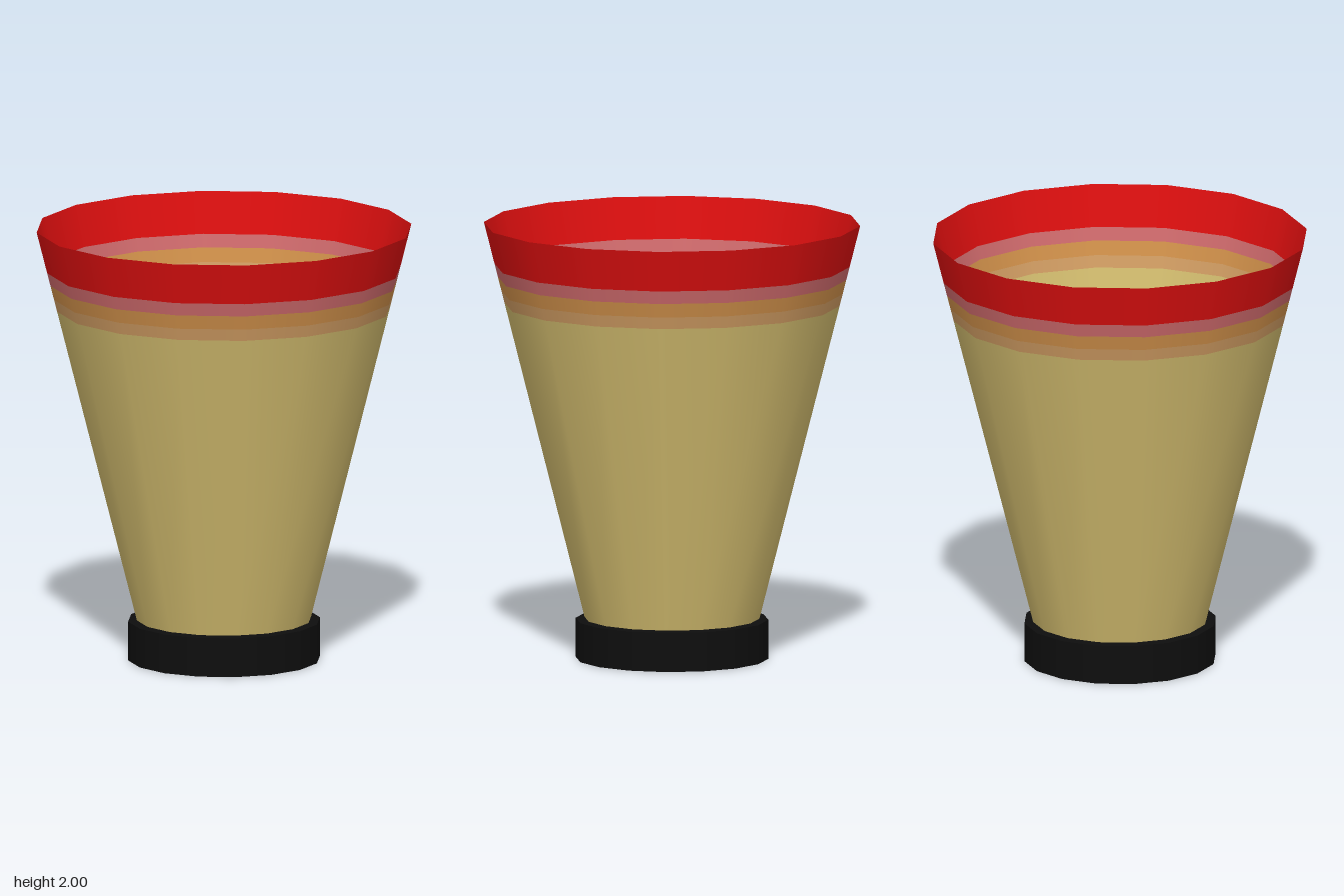
import * as THREE from 'three';

const SIDES = 16;
const FLOOR = 0.185;
const TOP = 2;

function makeMaterial(name, color, side = THREE.DoubleSide) {
  const m = new THREE.MeshStandardMaterial({ color, side });
  m.name = name;
  return m;
}

// radius of the flared wall at a given height
const radiusAt = (y) => 0.4 + (0.86 - 0.4) * (y - FLOOR) / (TOP - FLOOR);

export function createModel() {
  const group = new THREE.Group();
  group.name = 'flaredCup';

  const tan = makeMaterial('tan', 0xd2bc6e);
  const peach = makeMaterial('peach', 0xd09c62);
  const orange = makeMaterial('orange', 0xd0904a);
  const mauve = makeMaterial('mauve', 0xcf6a6c);
  const red = makeMaterial('red', 0xdc0f0f);
  const black = makeMaterial('black', 0x0e0e0e);

  const add = (name, geometry, material, y) => {
    const mesh = new THREE.Mesh(geometry, material);
    mesh.name = name;
    mesh.position.y = y;
    group.add(mesh);
    return mesh;
  };

  // open, thin wall stacked from coloured bands
  const bands = [
    ['wall', FLOOR, 1.63, tan],
    ['lowerStripe', 1.63, 1.685, peach],
    ['middleStripe', 1.685, 1.75, orange],
    ['upperStripe', 1.75, 1.81, mauve],
    ['rimBand', 1.81, TOP, red],
  ];
  for (const [name, y0, y1, material] of bands) {
    const g = new THREE.CylinderGeometry(radiusAt(y1), radiusAt(y0), y1 - y0, SIDES, 1, true);
    add(name, g, material, (y0 + y1) / 2);
  }

  // floor inside the cup
  add('floor', new THREE.CircleGeometry(0.4, SIDES).rotateX(-Math.PI / 2), tan, FLOOR);

  // base ring, open underneath, closed by a plate on top
  add('baseRing', new THREE.CylinderGeometry(0.44, 0.44, 0.18, SIDES, 1, true), black, 0.09);
  add('basePlate', new THREE.CircleGeometry(0.44, SIDES).rotateX(-Math.PI / 2), black, 0.18);

  return group;
}
